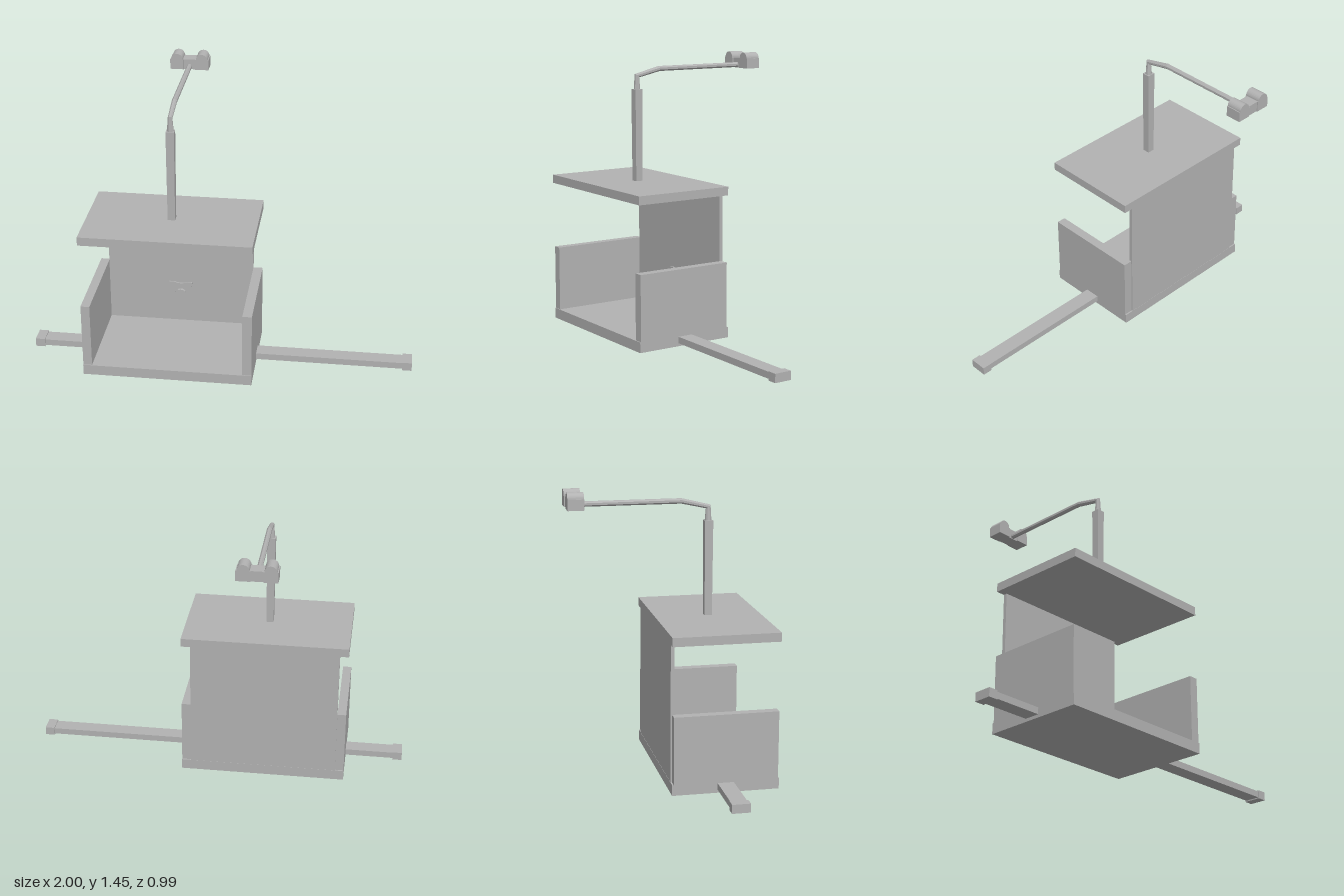
import * as THREE from 'three';

export function createModel() {
  const group = new THREE.Group();
  const grey = new THREE.MeshStandardMaterial({ color: 0xb2b2b2 });
  grey.name = 'plain grey';
  grey.flatShading = true;

  const add = (name, geometry) => {
    const mesh = new THREE.Mesh(geometry, grey);
    mesh.name = name;
    group.add(mesh);
    return mesh;
  };
  // Box given by its limits on each axis
  const box = (name, x0, x1, y0, y1, z0, z1) =>
    add(name, new THREE.BoxGeometry(x1 - x0, y1 - y0, z1 - z0))
      .position.set((x0 + x1) / 2, (y0 + y1) / 2, (z0 + z1) / 2);

  // Open cabin: floor, back, two low sides and roof
  box('floor', -0.692, 0.185, 0, 0.055, -0.045, 0.495);
  box('backWall', -0.646, 0.136, 0.055, 0.752, -0.044, -0.025);
  box('rightSide', -0.692, -0.646, 0.055, 0.4, -0.037, 0.49);
  box('leftSide', 0.136, 0.185, 0.055, 0.4, -0.037, 0.49);
  box('roof', -0.692, 0.185, 0.752, 0.797, -0.045, 0.495);

  // Carrying poles with thicker end caps
  for (const [side, inner] of [[-1, -0.68], [1, 0.17]]) {
    const tip = side * 0.95;
    box('pole', Math.min(inner, tip), Math.max(inner, tip), 0.016, 0.05, 0.183, 0.265);
    box('poleCap', Math.min(tip, side), Math.max(tip, side), 0.01, 0.055, 0.178, 0.27);
  }

  // Square mast, slightly wider at the top
  const cx = -0.256, mastZ = 0.228;
  const mast = new THREE.CylinderGeometry(0.03, 0.027, 0.485, 4);
  mast.rotateY(Math.PI / 4);
  add('mast', mast).position.set(cx, 1.038, mastZ);

  // Bent arm: mitred rings swept along a path of [z, y, radius]
  const path = [[0.227, 1.27, 0.018], [0.227, 1.35, 0.012], [0.09, 1.382, 0.014], [-0.43, 1.382, 0.014]];
  const sides = 8, verts = [], faces = [];
  path.forEach(([z, y, r], i) => {
    const a = path[Math.max(i - 1, 0)], b = path[Math.min(i + 1, path.length - 1)];
    const dirIn = new THREE.Vector2(z - a[0], y - a[1]).normalize();
    const dirOut = new THREE.Vector2(b[0] - z, b[1] - y).normalize();
    const t = dirIn.clone().add(dirOut).normalize();
    const stretch = 1 / Math.max(t.dot(dirOut.lengthSq() ? dirOut : dirIn), 0.5);
    for (let k = 0; k < sides; k++) {
      const q = ((k + 0.5) / sides) * Math.PI * 2;
      const u = Math.cos(q) * r, v = Math.sin(q) * r * stretch;
      verts.push(cx + u, y - t.x * v, z + t.y * v);
      if (i > 0) {
        const n = (k + 1) % sides, p = (i - 1) * sides, c = i * sides;
        faces.push(p + k, c + k, p + n, p + n, c + k, c + n);
      }
    }
  });
  const arm = new THREE.BufferGeometry();
  arm.setAttribute('position', new THREE.Float32BufferAttribute(verts, 3));
  arm.setIndex(faces);
  arm.computeVertexNormals();
  grey.side = THREE.DoubleSide;
  add('arm', arm);

  // Head at the end of the arm: bridge and two round-topped blocks
  box('headBridge', cx - 0.03, cx + 0.03, 1.366, 1.42, -0.488, -0.418);
  for (const side of [-1, 1]) {
    const s = new THREE.Shape();
    s.moveTo(-0.036, 1.366);
    s.lineTo(0.036, 1.366);
    s.lineTo(0.036, 1.42);
    s.lineTo(0.031, 1.42);
    s.absarc(0, 1.42, 0.031, 0, Math.PI, false);
    s.lineTo(-0.036, 1.42);
    s.closePath();
    const block = new THREE.ExtrudeGeometry(s, { depth: 0.082, bevelEnabled: false, curveSegments: 8 });
    add('headBlock', block).position.set(cx + side * 0.066, 0, -0.493);
  }

  // Small rounded fitting on the inside of the back wall
  const plate = new THREE.Shape();
  plate.moveTo(-0.062, 0.04);
  plate.quadraticCurveTo(-0.06, -0.01, -0.035, -0.035);
  plate.quadraticCurveTo(0, -0.06, 0.035, -0.035);
  plate.quadraticCurveTo(0.06, -0.01, 0.062, 0.04);
  plate.lineTo(0.035, 0.04);
  plate.quadraticCurveTo(0, 0.025, -0.035, 0.04);
  add('wallPlate', new THREE.ExtrudeGeometry(plate, { depth: 0.009, bevelEnabled: false, curveSegments: 5 }))
    .position.set(cx, 0.253, -0.026);
  const knob = add('wallKnob', new THREE.CylinderGeometry(0.028, 0.028, 0.02, 12));
  knob.rotation.x = Math.PI / 2;
  knob.scale.z = 0.7;
  knob.position.set(cx, 0.235, -0.012);

  return group;
}
